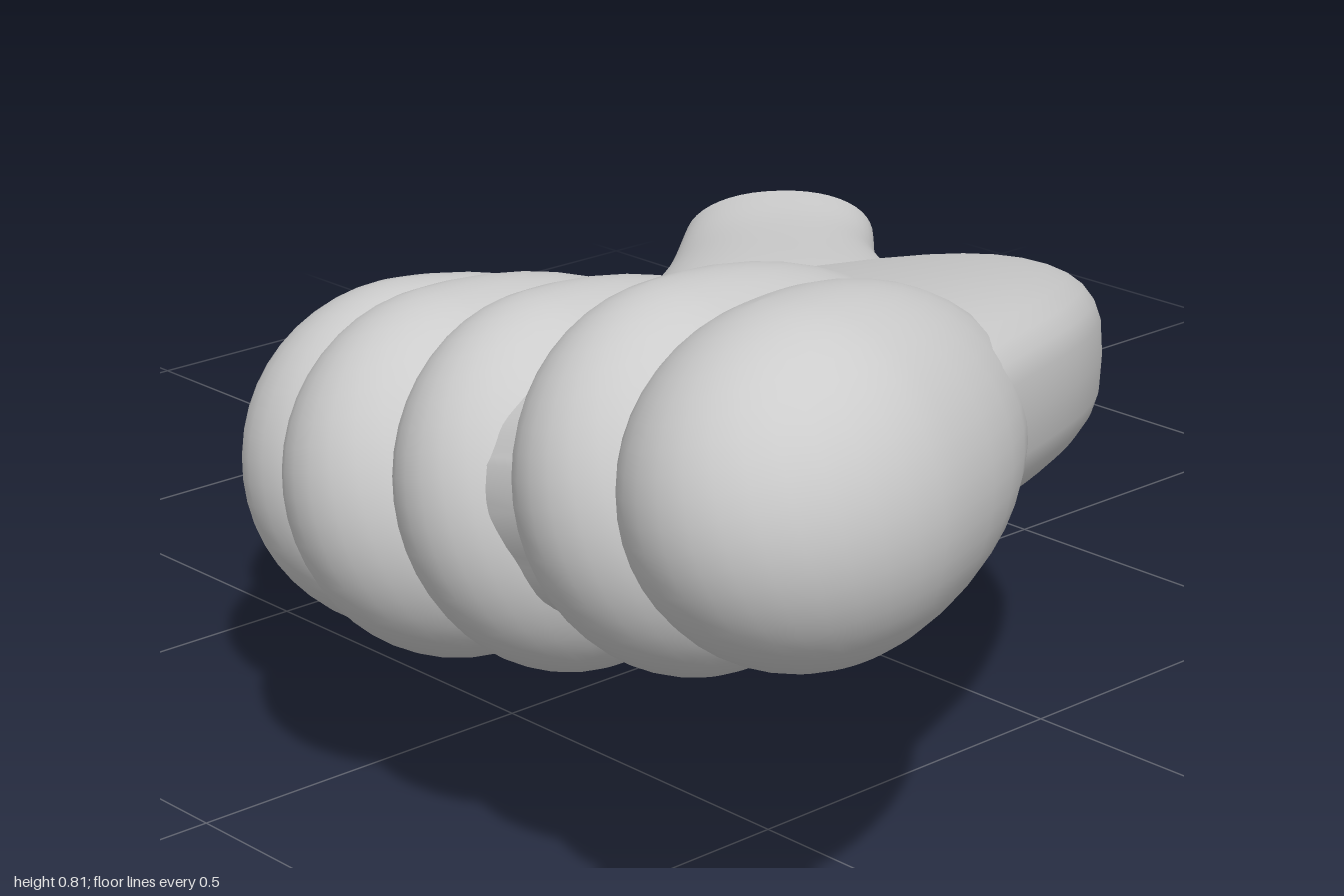
import * as THREE from 'three';

// Stations from wrist to toe tips: left edge (x, y, z), right edge (x, y, z), half thickness
const STATIONS = [
  [-1.0, 0.195, -0.72, -0.8, 0.195, -0.97, 0.085],
  [-0.89, 0.155, -0.57, -0.67, 0.17, -0.86, 0.116],
  [-0.75, 0.145, -0.37, -0.4, 0.165, -0.7, 0.146],
  [-0.57, 0.15, -0.14, -0.1, 0.215, -0.46, 0.142],
  [-0.5, 0.15, 0.05, 0.2, 0.395, -0.26, 0.16],
  [-0.51, 0.19, 0.25, 0.5, 0.51, -0.09, 0.175],
  [-0.48, 0.25, 0.42, 0.73, 0.59, 0.18, 0.175],
  [-0.35, 0.31, 0.55, 0.875, 0.63, 0.47, 0.178],
  [-0.2, 0.35, 0.66, 0.925, 0.62, 0.63, 0.18],
  [-0.05, 0.395, 0.755, 0.93, 0.615, 0.76, 0.16],
  [0.1, 0.43, 0.825, 0.89, 0.61, 0.85, 0.115],
  [0.25, 0.48, 0.865, 0.8, 0.6, 0.89, 0.05],
];
const RINGS = 66, SIDES = 48;

// Tilted elliptical cross-section at t along the limb, squarer towards the palm
const left = new THREE.CatmullRomCurve3(STATIONS.map(s => new THREE.Vector3(s[0], s[1], s[2])), false, 'catmullrom');
const right = new THREE.CatmullRomCurve3(STATIONS.map(s => new THREE.Vector3(s[3], s[4], s[5])), false, 'catmullrom');
const thick = new THREE.CatmullRomCurve3(STATIONS.map((s, i) => new THREE.Vector3(i, s[6], 0)), false, 'catmullrom');
const squared = (v, e) => Math.sign(v) * Math.abs(v) ** e;

function ring(t) {
  const l = left.getPoint(t), r = right.getPoint(t), h = thick.getPoint(t).y;
  const c = l.clone().add(r).multiplyScalar(0.5);
  const u = r.clone().sub(l).multiplyScalar(0.5);
  const e = 0.92 - 0.27 * Math.min(1, t * 2.2);
  const points = [];
  for (let j = 0; j < SIDES; j++) {
    const a = (j / SIDES) * Math.PI * 2;
    const p = c.clone().addScaledVector(u, squared(Math.cos(a), e));
    p.y += h * squared(Math.sin(a), e);
    points.push(p);
  }
  return { c, points };
}

function geometryFrom(points, index) {
  const g = new THREE.BufferGeometry().setFromPoints(points);
  g.setIndex(index);
  g.computeVertexNormals();
  return g;
}

// Wrist and palm skin, rounded off between the toes
function palmGeometry() {
  const points = [], index = [];
  for (let i = 0; i <= RINGS; i++) points.push(...ring(i / RINGS).points);
  const tip = points.push(ring(1).c.add(new THREE.Vector3(0, 0, 0.015))) - 1;
  for (let i = 0; i <= RINGS; i++) {
    for (let j = 0; j < SIDES; j++) {
      const k = (j + 1) % SIDES;
      const a = i * SIDES + j, b = i * SIDES + k;
      if (i === RINGS) index.push(a, b, tip);
      else index.push(a, b, a + SIDES, b, b + SIDES, a + SIDES);
    }
  }
  return geometryFrom(points, index);
}

// Flat cut at the wrist
function capGeometry() {
  const { c, points } = ring(0);
  const index = [];
  for (let j = 0; j < SIDES; j++) index.push(SIDES, (j + 1) % SIDES, j);
  return geometryFrom([...points, c], index);
}

// Rounded toe: an ellipsoid whose back half is stretched into the palm
function toeGeometry(rx, ry, rz, back) {
  const g = new THREE.SphereGeometry(1, 32, 24);
  const p = g.attributes.position;
  for (let i = 0; i < p.count; i++) {
    const z = p.getZ(i);
    p.setXYZ(i, p.getX(i) * rx, p.getY(i) * ry, z * (z < 0 ? rz * back : rz));
  }
  g.computeVertexNormals();
  return g;
}

export function createModel() {
  const model = new THREE.Group();
  model.name = 'foot';
  const skin = new THREE.MeshStandardMaterial({ color: 0xcccccc });
  skin.name = 'light grey';

  function add(name, geometry) {
    const mesh = new THREE.Mesh(geometry, skin);
    mesh.name = name;
    model.add(mesh);
    return mesh;
  }

  add('palm', palmGeometry());
  add('wristCap', capGeometry());

  // Centre x, y, z; radii x, y, z; back stretch; turn about y; roll about z
  const toes = [
    ['outerToe', -0.315, 0.265, 0.36, 0.215, 0.235, 0.25, 1.5, -0.45, 0.1],
    ['secondToe', -0.12, 0.36, 0.55, 0.185, 0.235, 0.24, 1.7, -0.25, 0.2],
    ['thirdToe', 0.12, 0.43, 0.67, 0.185, 0.235, 0.25, 1.8, 0.1, 0.3],
    ['fourthToe', 0.34, 0.48, 0.68, 0.175, 0.235, 0.24, 1.8, 0.1, 0.3],
    ['fifthToe', 0.57, 0.545, 0.68, 0.18, 0.235, 0.25, 1.8, 0.15, 0.3],
    ['bigToe', 0.79, 0.605, 0.71, 0.2, 0.212, 0.255, 1.5, 0.3, 0.3],
  ];
  for (const [name, x, y, z, rx, ry, rz, back, turn, roll] of toes) {
    const toe = add(name, toeGeometry(rx, ry, rz, back));
    toe.position.set(x, y, z);
    toe.rotation.set(0, turn, roll, 'YXZ');
  }
  return model;
}
